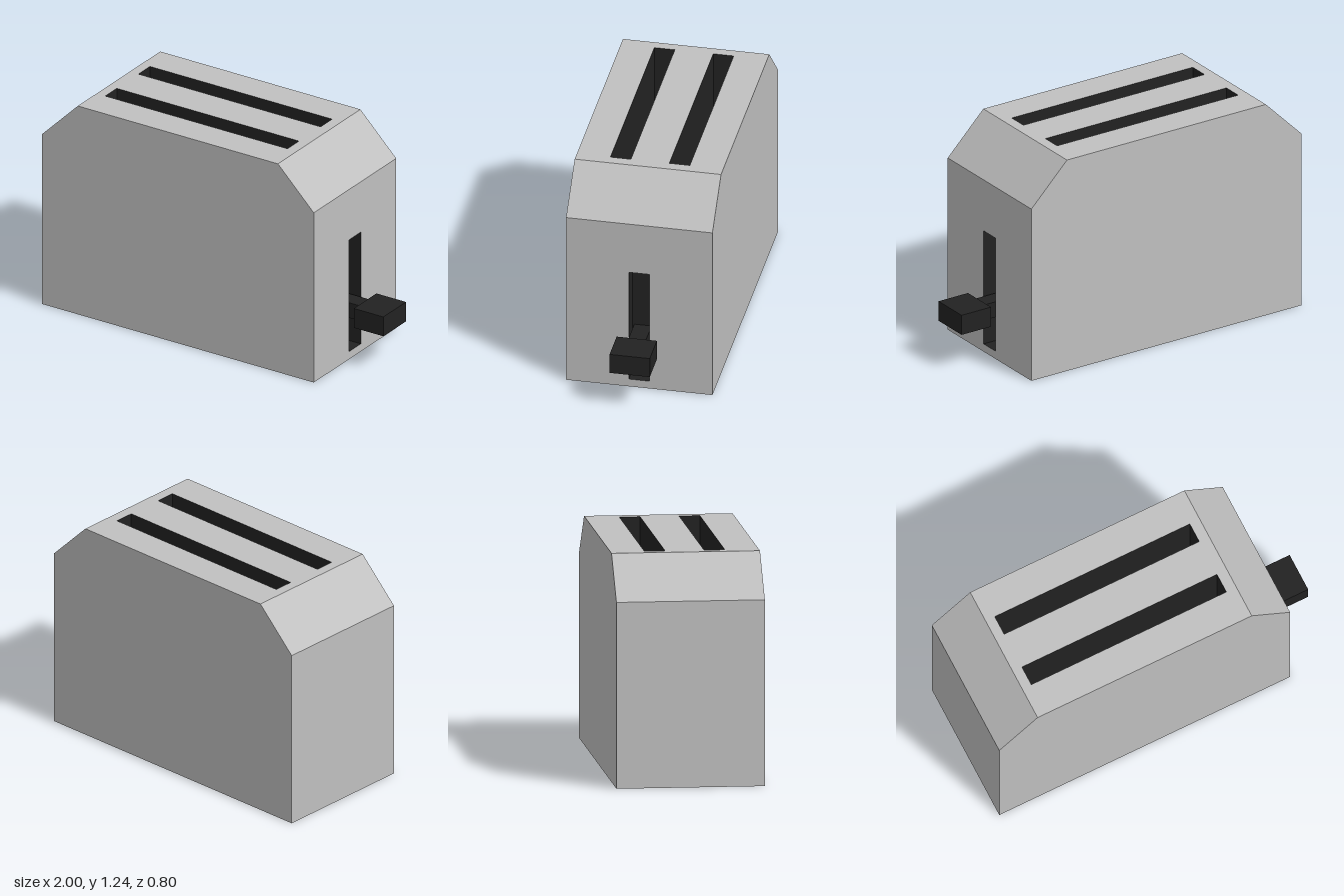
import * as THREE from 'three';

const casingMat = new THREE.MeshStandardMaterial({ color: 0xc0c0c0 });
casingMat.name = 'casing grey';
const darkMat = new THREE.MeshStandardMaterial({ color: 0x222222 });
darkMat.name = 'dark plastic';

const DEPTH = 0.8;

// Rectangle outline, for panels and the holes in them
function rect(x0, x1, y0, y1, Type = THREE.Shape) {
  return new Type([[x0, y0], [x1, y0], [x1, y1], [x0, y1]].map(p => new THREE.Vector2(...p)));
}

function add(parent, name, geometry, material) {
  const mesh = new THREE.Mesh(geometry, material);
  mesh.name = name;
  parent.add(mesh);
  return mesh;
}

// Box between two corners
function boxBetween([x0, y0, z0], [x1, y1, z1]) {
  return new THREE.BoxGeometry(x1 - x0, y1 - y0, z1 - z0)
    .translate((x0 + x1) / 2, (y0 + y1) / 2, (z0 + z1) / 2);
}

// Inward-facing box with one side left open (0 = +x, 2 = +y)
function recess(min, max, openSide) {
  const box = boxBetween(min, max);
  const index = Array.from(box.index.array);
  index.splice(openSide * 6, 6);
  box.setIndex(index.reverse());
  box.clearGroups();
  const inner = box.toNonIndexed();
  inner.computeVertexNormals();
  return inner;
}

export function createModel() {
  const model = new THREE.Group();
  model.name = 'toaster';

  // Casing silhouette, counter-clockwise from the lower left
  const outline = [[-1, 0], [0.745, 0], [0.745, 1.01], [0.515, 1.24], [-0.77, 1.24], [-1, 1.01]]
    .map(p => new THREE.Vector2(...p));
  const names = ['base', 'leverSide', 'leverSideChamfer', 'top', 'plainSideChamfer', 'plainSide'];

  const casing = new THREE.Group();
  casing.name = 'casing';
  model.add(casing);

  // Front and back panels
  add(casing, 'frontPanel', new THREE.ShapeGeometry(new THREE.Shape(outline)).translate(0, 0, DEPTH / 2), casingMat);
  const mirrored = outline.map(p => new THREE.Vector2(-p.x, p.y));
  add(casing, 'backPanel',
    new THREE.ShapeGeometry(new THREE.Shape(mirrored)).rotateY(Math.PI).translate(0, 0, -DEPTH / 2), casingMat);

  // Openings
  const slotX = [-0.715, 0.455], slotZ = [0.105, 0.217];
  const trackY = [0.045, 0.71], trackZ = 0.057;

  // Panels wrapping around the silhouette, cut open at the slots and lever track
  outline.forEach((a, i) => {
    const b = outline[(i + 1) % outline.length];
    const length = a.distanceTo(b), mid = a.clone().add(b).multiplyScalar(0.5);
    const panel = rect(-length / 2, length / 2, -DEPTH / 2, DEPTH / 2);
    if (names[i] === 'top') {
      for (const [z0, z1] of [slotZ, [-slotZ[1], -slotZ[0]]]) {
        panel.holes.push(rect(slotX[0] - mid.x, slotX[1] - mid.x, z0, z1, THREE.Path));
      }
    }
    if (names[i] === 'leverSide') {
      panel.holes.push(rect(mid.y - trackY[1], mid.y - trackY[0], -trackZ, trackZ, THREE.Path));
    }
    const geometry = new THREE.ShapeGeometry(panel)
      .rotateX(-Math.PI / 2)
      .rotateZ(Math.atan2(b.y - a.y, b.x - a.x) + Math.PI)
      .translate(mid.x, mid.y, 0);
    add(casing, names[i], geometry, casingMat);
  });

  // Bread slots
  for (const [name, z0, z1] of [['frontBreadSlot', ...slotZ], ['backBreadSlot', -slotZ[1], -slotZ[0]]]) {
    add(model, name, recess([slotX[0], 0.44, z0], [slotX[1], 1.24, z1], 2), darkMat);
  }

  // Lever track
  add(model, 'leverTrack', recess([0.645, trackY[0], -trackZ], [0.745, trackY[1], trackZ], 0), darkMat);

  // Lever
  const lever = new THREE.Group();
  lever.name = 'lever';
  model.add(lever);
  add(lever, 'leverStem', boxBetween([0.645, 0.24, -0.047], [0.81, 0.33, 0.047]), darkMat);
  add(lever, 'leverKnob', boxBetween([0.81, 0.226, -0.11], [1, 0.341, 0.11]), darkMat);

  return model;
}
